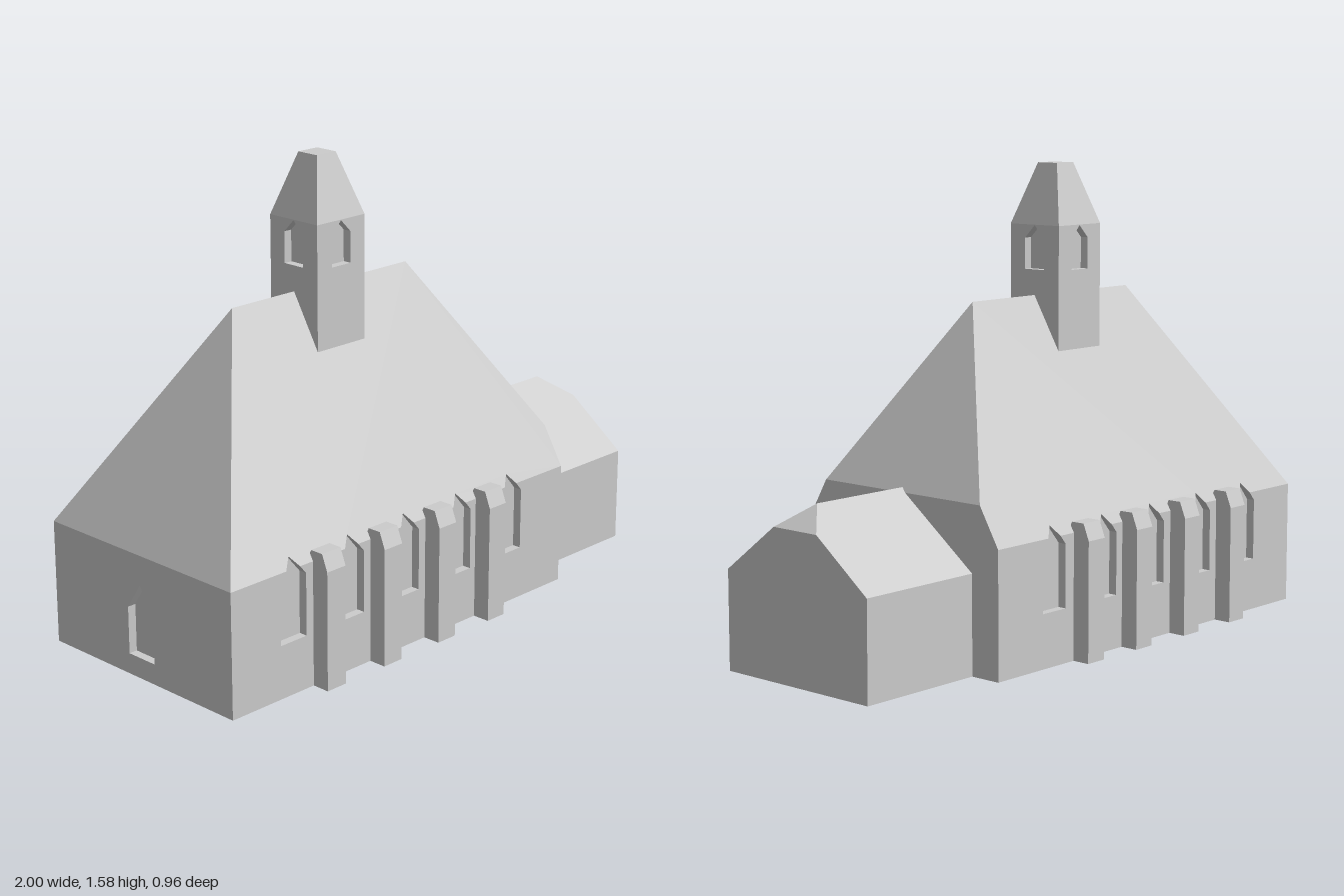
import * as THREE from 'three';
import { mergeGeometries } from 'three/addons/utils/BufferGeometryUtils.js';

const X0 = -1, X1 = 0.54, Z = 0.42, EAVE = 0.42, RIDGE = 1.134; // church hall
const CUT = 0.55, CUT_Z = Z * (RIDGE - CUT) / (RIDGE - EAVE);   // clipped hip on the right
const DEPTH = 0.03;                                             // window recess

// Flat polygon through 3D points, counter-clockwise seen from outside
function face(points) {
  const pos = [];
  for (let i = 1; i < points.length - 1; i++) pos.push(...points[0], ...points[i], ...points[i + 1]);
  const g = new THREE.BufferGeometry();
  g.setAttribute('position', new THREE.Float32BufferAttribute(pos, 3));
  g.computeVertexNormals();
  return g;
}

// The same polygon on the other side of z = 0
const mirrorZ = (points) => points.map(([x, y, z]) => [x, y, -z]).reverse();

// 2D outline with holes, placed in space by map(u, v, inside)
function panel(outline, holes, map, inside = false) {
  const vec = (list) => list.map(([u, v]) => new THREE.Vector2(u, v));
  const shape = new THREE.Shape(vec(outline));
  holes.forEach((h) => shape.holes.push(new THREE.Path(vec(h))));
  const g = new THREE.ShapeGeometry(shape).toNonIndexed();
  const p = g.attributes.position;
  for (let i = 0; i < p.count; i++) p.setXYZ(i, ...map(p.getX(i), p.getY(i), inside));
  g.deleteAttribute('uv');
  g.computeVertexNormals();
  return g;
}

// Recessed window: reveals around the outline and a pane at the back
function recess(outline, map) {
  const reveals = outline.map((a, i) => {
    const b = outline[(i + 1) % outline.length];
    return face([map(...a, false), map(...b, false), map(...b, true), map(...a, true)]);
  });
  return mergeGeometries([panel(outline, [], map, true), ...reveals]);
}

// Pointed window outline, counter-clockwise
const pointed = (w, bottom, spring, peak) => [[-w, bottom], [w, bottom], [w, spring], [0, peak], [-w, spring]];

export function createModel() {
  const model = new THREE.Group();
  model.name = 'church';
  const stone = new THREE.MeshStandardMaterial({ color: 0xcccccc });
  stone.name = 'pale grey stone';
  const add = (name, geometry, parent = model) => {
    const mesh = new THREE.Mesh(geometry, stone);
    mesh.name = name;
    parent.add(mesh);
    return mesh;
  };

  // Long sides: wall, roof slope, and windows whose tips cut into the eave
  const centres = [-0.74, -0.485, -0.23, 0.02, 0.275];
  const w = 0.055, sill = 0.18, spring = 0.39, peak = 0.455;
  const k = w * (peak - EAVE) / (peak - spring);
  for (const s of [1, -1]) {
    const side = s > 0 ? 'front' : 'back';
    const surface = (y) => (y <= EAVE ? Z : Z * (RIDGE - y) / (RIDGE - EAVE));
    const map = (u, v, inside) => [s * u, v, s * (inside ? Z - DEPTH : surface(v))];
    const flip = (list) => list.map(([x, y]) => [s * x, y]);

    const wall = [[X0, EAVE], [X0, 0], [X1, 0], [X1, EAVE]];
    const roof = [[X1, EAVE], [X1, CUT], [0.2, RIDGE], [-0.59, RIDGE], [X0, EAVE]];
    for (const c of [...centres].reverse()) {
      wall.push([c + k, EAVE], [c + w, spring], [c + w, sill], [c - w, sill], [c - w, spring], [c - k, EAVE]);
    }
    for (const c of centres) roof.push([c - k, EAVE], [c, peak], [c + k, EAVE]);
    add(side + 'Wall', panel(flip(wall), [], map));
    add(side + 'Roof', panel(flip(roof), [], map));

    for (const c of centres) {
      const outline = [[-w, sill], [w, sill], [w, spring], [k, EAVE], [0, peak], [-k, EAVE], [-w, spring]]
        .map(([u, v]) => [u + s * c, v]);
      add(side + 'Window', recess(outline, map));
    }
  }

  // Left end wall with a single window
  const endMap = (u, v, inside) => [X0 + (inside ? DEPTH : 0), v, u];
  const endWindow = pointed(0.06, 0.07, 0.23, 0.32);
  add('leftEndWall', panel([[-Z, 0], [Z, 0], [Z, EAVE], [-Z, EAVE]], [endWindow], endMap));
  add('leftEndWindow', recess(endWindow, endMap));

  // Hipped ends, right end wall and underside
  add('leftHip', face([[X0, EAVE, -Z], [X0, EAVE, Z], [-0.59, RIDGE, 0]]));
  add('rightHip', face([[X1, CUT, CUT_Z], [X1, CUT, -CUT_Z], [0.2, RIDGE, 0]]));
  add('rightEndWall', face([[X1, 0, Z], [X1, 0, -Z], [X1, EAVE, -Z],
    [X1, CUT, -CUT_Z], [X1, CUT, CUT_Z], [X1, EAVE, Z]]));
  add('base', face([[X0, 0, Z], [X0, 0, -Z], [X1, 0, -Z], [X1, 0, Z]]));

  // Buttresses with sloping tops
  const profile = new THREE.Shape([[0.4, 0], [0.482, 0], [0.482, 0.4], [0.46, 0.455], [0.412, 0.455], [0.4, 0.43]]
    .map(([z, y]) => new THREE.Vector2(z, y)));
  const buttress = new THREE.ExtrudeGeometry(profile, { depth: 0.08, bevelEnabled: false });
  buttress.translate(0, 0, -0.04).rotateY(-Math.PI / 2);
  for (const x of [-0.615, -0.36, -0.105, 0.14]) {
    for (const turn of [0, Math.PI]) {
      const mesh = add('buttress', buttress);
      mesh.position.x = x;
      mesh.rotation.y = turn;
    }
  }

  // Annex with a half-hipped gable
  const A = 0.52, az = 0.31, ae = 0.33, ar = 0.565, hy = 0.493, hz = 0.095, hx = 0.905;
  const annexWall = [[A, 0, az], [1, 0, az], [1, ae, az], [A, ae, az]];
  const annexRoof = [[A, ae, az], [1, ae, az], [1, hy, hz], [hx, ar, 0], [A, ar, 0]];
  add('annexWalls', mergeGeometries([face(annexWall), face(mirrorZ(annexWall)),
    face([[1, 0, az], [1, 0, -az], [1, ae, -az], [1, hy, -hz], [1, hy, hz], [1, ae, az]])]));
  add('annexRoof', mergeGeometries([face(annexRoof), face(mirrorZ(annexRoof)),
    face([[1, hy, hz], [1, hy, -hz], [hx, ar, 0]])]));
  add('annexBase', face([[X1, 0, az], [X1, 0, -az], [1, 0, -az], [1, 0, az]]));

  // Bell tower: four identical sides and a blunt spire
  const tower = new THREE.Group();
  tower.name = 'bellTower';
  tower.position.x = -0.213;
  model.add(tower);
  const t = 0.107, tip = 0.042, shoulder = 1.37, top = 1.575;
  const towerMap = (u, v, inside) => [u, v, t - (inside ? DEPTH : 0)];
  const opening = pointed(0.042, 1.22, 1.325, 1.368);
  const towerWall = panel([[-t, 0.9], [t, 0.9], [t, shoulder], [-t, shoulder]], [opening], towerMap);
  const towerWindow = recess(opening, towerMap);
  const spire = face([[-t, shoulder, t], [t, shoulder, t], [tip, top, tip], [-tip, top, tip]]);
  for (let i = 0; i < 4; i++) {
    for (const [name, g] of [['towerWall', towerWall], ['towerWindow', towerWindow], ['spireSide', spire]]) {
      add(name, g, tower).rotation.y = i * Math.PI / 2;
    }
  }
  add('spireTop', face([[-tip, top, tip], [tip, top, tip], [tip, top, -tip], [-tip, top, -tip]]), tower);

  return model;
}
